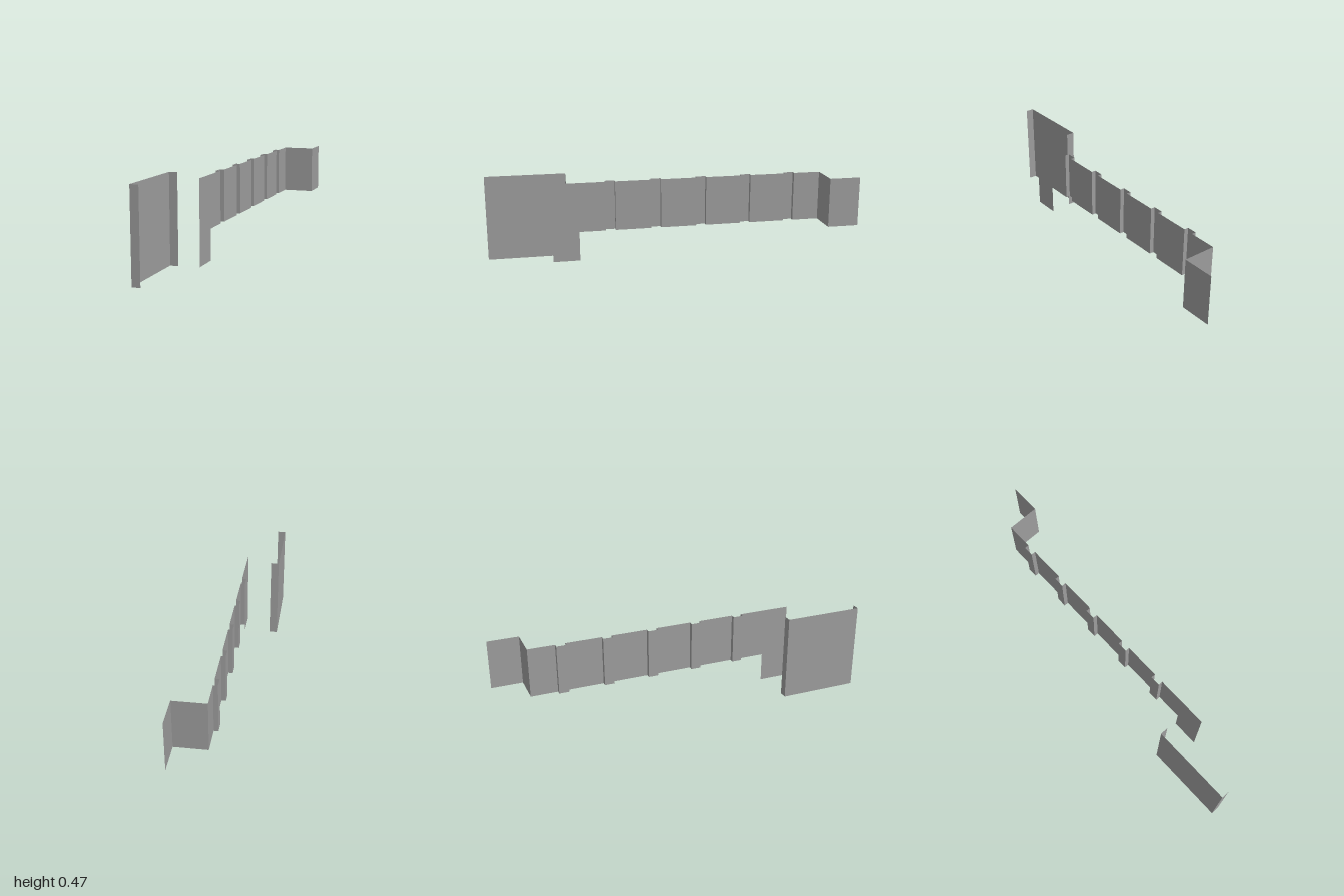
import * as THREE from 'three';

// Vertical sheet folded along a plan path of [x, z] points
function foldedSheet(name, path, y0, y1, material) {
  const pos = [];
  for (let i = 0; i < path.length - 1; i++) {
    const [ax, az] = path[i], [bx, bz] = path[i + 1];
    pos.push(ax, y0, az, bx, y0, bz, bx, y1, bz);
    pos.push(ax, y0, az, bx, y1, bz, ax, y1, az);
  }
  const geometry = new THREE.BufferGeometry();
  geometry.setAttribute('position', new THREE.Float32BufferAttribute(pos, 3));
  geometry.computeVertexNormals();
  const mesh = new THREE.Mesh(geometry, material);
  mesh.name = name;
  return mesh;
}

export function createModel() {
  const group = new THREE.Group();
  group.name = 'foldedPanels';
  const grey = new THREE.MeshStandardMaterial({ color: 0x9c9c9c, side: THREE.DoubleSide });
  grey.name = 'grey';

  // Tall end panel with a short flange on each side
  group.add(foldedSheet('endPanel',
    [[-0.14, 1], [-0.184, 1], [-0.184, 0.566], [-0.14, 0.566]], 0, 0.47, grey));

  // Long wall with five pressed channels, then a step out to the rear tab
  const wallX = 0.011, channelX = -0.0125, channelWidth = 0.054;
  const path = [[wallX, 0.658]];
  for (let i = 0; i < 5; i++) {
    const z = 0.37 - i * 0.25, end = z - channelWidth;
    path.push([wallX, z], [channelX, z], [channelX, end], [wallX, end]);
  }
  path.push([wallX, -0.83], [0.184, -0.83], [0.184, -1]);
  group.add(foldedSheet('ribbedWall', path, 0.189, 0.459, grey));

  // Leg hanging below the front end of the wall
  group.add(foldedSheet('frontLeg', [[wallX, 0.658], [wallX, 0.513]], 0.028, 0.189, grey));

  return group;
}
